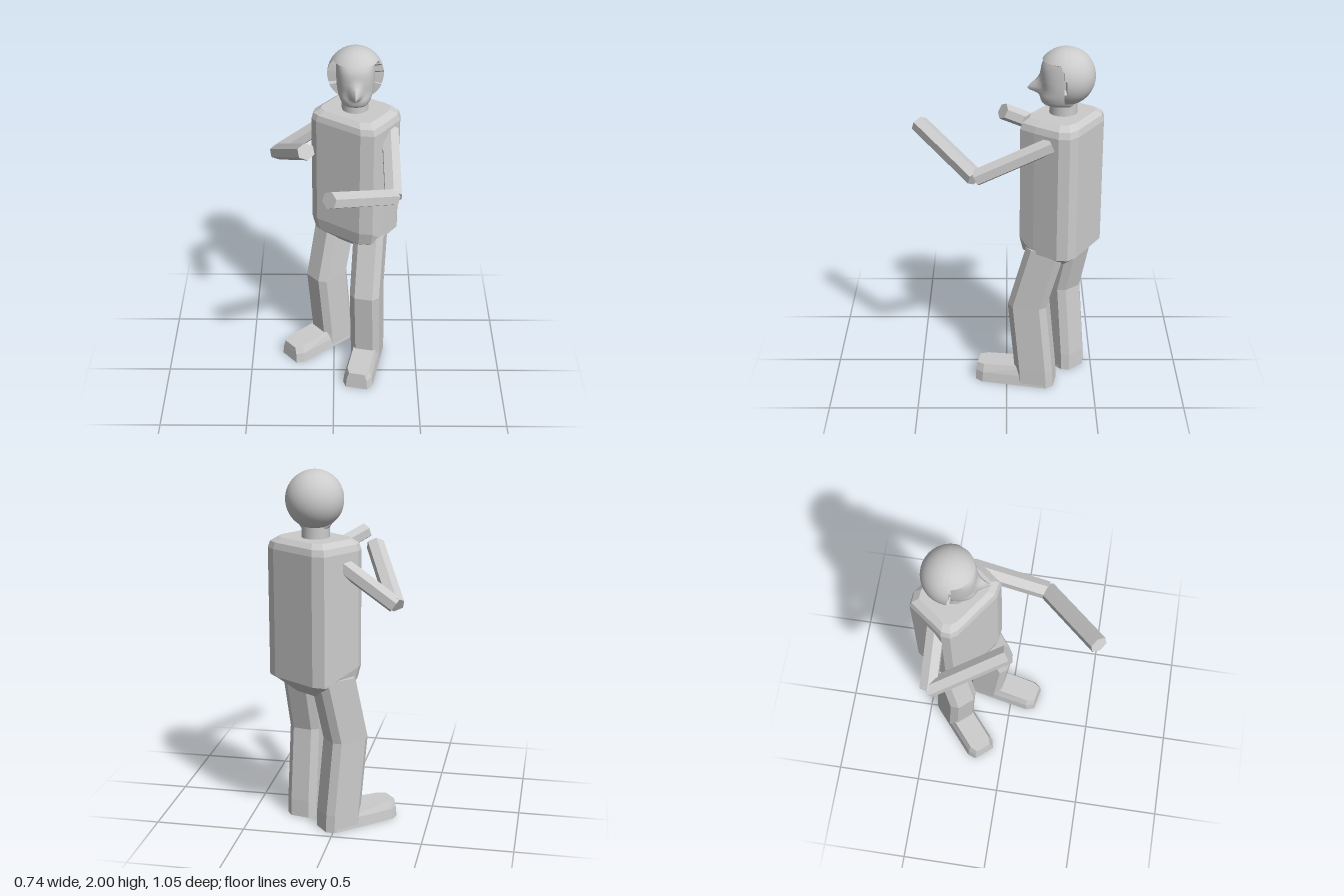
import * as THREE from 'three';
import { toCreasedNormals } from 'three/addons/utils/BufferGeometryUtils.js';

const flat = new THREE.MeshStandardMaterial({ color: 0xcccccc, flatShading: true });
const smooth = new THREE.MeshStandardMaterial({ color: 0xcccccc });

// Skin rings (listed bottom to top, points clockwise from above) and cap both ends.
function loft(rings) {
  const n = rings[0].length, pos = [], idx = [];
  rings.forEach(r => r.forEach(p => pos.push(...p)));
  for (let k = 0; k < rings.length - 1; k++) {
    for (let i = 0; i < n; i++) {
      const j = (i + 1) % n, b = k * n, t = b + n;
      idx.push(b + j, b + i, t + i, b + j, t + i, t + j);
    }
  }
  const top = (rings.length - 1) * n;
  for (let i = 1; i < n - 1; i++) {
    idx.push(0, i, i + 1, top, top + i + 1, top + i);
  }
  const g = new THREE.BufferGeometry();
  g.setAttribute('position', new THREE.Float32BufferAttribute(pos, 3));
  g.setIndex(idx);
  g.computeVertexNormals();
  return g;
}

function add(parent, name, geometry, material = flat) {
  const mesh = new THREE.Mesh(geometry, material);
  mesh.name = name;
  parent.add(mesh);
  return mesh;
}

// Turned torso with bevelled shoulders and a tapered hip
function addTorso(group) {
  const outline = [
    [0.025, -0.53], [0.093, -0.524], [0.332, -0.377], [0.372, -0.33], [0.366, -0.27], [0.28, -0.145],
    [0.22, -0.072], [0.144, -0.082], [-0.1, -0.25], [-0.127, -0.29], [-0.121, -0.34],
  ];
  const cx = 0.12, cz = -0.305;
  const ring = (s, yFn) => outline.map(([x, z], i) => [cx + (x - cx) * s, yFn(i), cz + (z - cz) * s]);
  const isFront = i => i >= 6 && i <= 10;
  add(group, 'torso', loft([
    ring(0.45, () => 0.78),
    ring(0.92, () => 0.86),
    ring(1, i => (isFront(i) ? 0.94 : 0.87)),
    ring(1, () => 1.58),
    ring(0.95, () => 1.615),
    ring(0.78, () => 1.64),
  ]));
}

// Leg with a bent knee and a foot; dir is the direction the toes point in (x, z)
function addLeg(group, side, dir, joints) {
  const leg = new THREE.Group();
  leg.name = side + 'Leg';
  group.add(leg);
  const [fx, fz] = new THREE.Vector2(...dir).normalize().toArray();
  const place = (c, u, v, y) => [c[0] + u * fz + v * fx, y, c[2] - u * fx + v * fz];

  const w = 0.088, d = 0.11, k = 0.035;
  const section = [
    [w, -d + k], [w, d - k], [w - k, d], [k - w, d],
    [-w, d - k], [-w, k - d], [k - w, -d], [w - k, -d],
  ];
  add(leg, side + 'LegShape', loft(joints.map(c => section.map(([u, v]) => place(c, u, v, c[1])))));

  const sole = [[0.09, -0.06], [0.09, 0.3], [0.065, 0.345], [-0.065, 0.345], [-0.09, 0.3], [-0.09, -0.06]];
  add(leg, side + 'Foot', loft([
    sole.map(([u, v]) => place(joints[0], u, v, 0)),
    sole.map(([u, v]) => place(joints[0], u * 0.92, v * 0.99, 0.06)),
    sole.map(([u, v]) => place(joints[0], u * 0.72, v * 0.98, 0.12 - 0.05 * v)),
  ]));
}

// Six-sided bar between two points
function addBar(parent, name, a, b) {
  const from = new THREE.Vector3(...a), to = new THREE.Vector3(...b);
  const g = new THREE.CylinderGeometry(0.052, 0.052, from.distanceTo(to), 6);
  g.scale(1, 1, 0.9);
  g.rotateX(Math.PI / 2);
  const bar = add(parent, name, g);
  bar.position.copy(from).add(to).multiplyScalar(0.5);
  bar.lookAt(to);
}

function addArm(group, side, shoulder, elbow, hand) {
  const arm = new THREE.Group();
  arm.name = side + 'Arm';
  group.add(arm);
  addBar(arm, side + 'UpperArm', shoulder, elbow);
  addBar(arm, side + 'Forearm', elbow, hand);
}

function addHead(group) {
  const head = new THREE.Group();
  head.name = 'head';
  head.position.set(0.117, 1.844, -0.315);
  group.add(head);

  // Ball of hair, pulled inward where the face opening lies
  const hair = new THREE.SphereGeometry(0.156, 64, 40);
  const p = hair.attributes.position;
  for (let i = 0; i < p.count; i++) {
    const x = p.getX(i), y = p.getY(i), z = p.getZ(i);
    const edge = y > 0.02 ? 0.028 : y > -0.05 ? 0.003 : 0.015;
    if (y < 0.088 && z > edge) p.setXYZ(i, x * 0.55, y * 0.8, z * 0.5);
  }
  add(head, 'hair', toCreasedNormals(hair, 0.6), smooth);

  // Face: height, half width, depth; a nose swells out of the middle
  const levels = new THREE.CatmullRomCurve3([
    [0.05, -0.165, 0.075], [0.08, -0.145, 0.125], [0.094, -0.11, 0.138], [0.102, -0.07, 0.13],
    [0.107, 0, 0.135], [0.107, 0.06, 0.13], [0.104, 0.11, 0.1],
  ].map(a => new THREE.Vector3(...a))).getPoints(28);
  const face = loft(levels.map(l => {
    const ring = [];
    for (let i = 0; i < 48; i++) {
      const a = i / 48 * Math.PI * 2, c = Math.cos(a), s = Math.sin(a);
      const x = l.x * Math.sign(c) * Math.abs(c) ** 0.8;
      const dy = l.y + 0.068;
      const nose = s > 0 ? 0.075 * Math.exp(-((x / 0.026) ** 2) - (dy / (dy > 0 ? 0.05 : 0.022)) ** 2) : 0;
      ring.push([x, l.y, s > 0 ? l.z * s ** 0.8 + nose : 0.05 * s]);
    }
    return ring;
  }));
  add(head, 'face', toCreasedNormals(face, 0.9), smooth);

  // Neck
  const neck = add(head, 'neck', toCreasedNormals(new THREE.CylinderGeometry(0.075, 0.075, 0.13, 24), 0.7), smooth);
  neck.position.set(0, -0.165, 0.012);
}

export function createModel() {
  const model = new THREE.Group();
  model.name = 'figure';
  addTorso(model);
  addHead(model);

  // Joints run from ground to hip
  addLeg(model, 'left', [-0.2, 0.98],
    [[0.205, 0, -0.17], [0.205, 0.1, -0.165], [0.195, 0.52, -0.125], [0.215, 0.89, -0.225]]);
  addLeg(model, 'right', [-0.76, 0.65],
    [[-0.01, 0, -0.34], [-0.012, 0.1, -0.338], [-0.045, 0.52, -0.31], [0.015, 0.89, -0.375]]);

  addArm(model, 'left', [0.312, 1.53, -0.24], [0.322, 1.345, 0.165], [-0.02, 1.518, 0.48]);
  addArm(model, 'right', [0.0, 1.54, -0.38], [-0.325, 1.31, -0.385], [-0.15, 1.54, 0.02]);
  return model;
}
